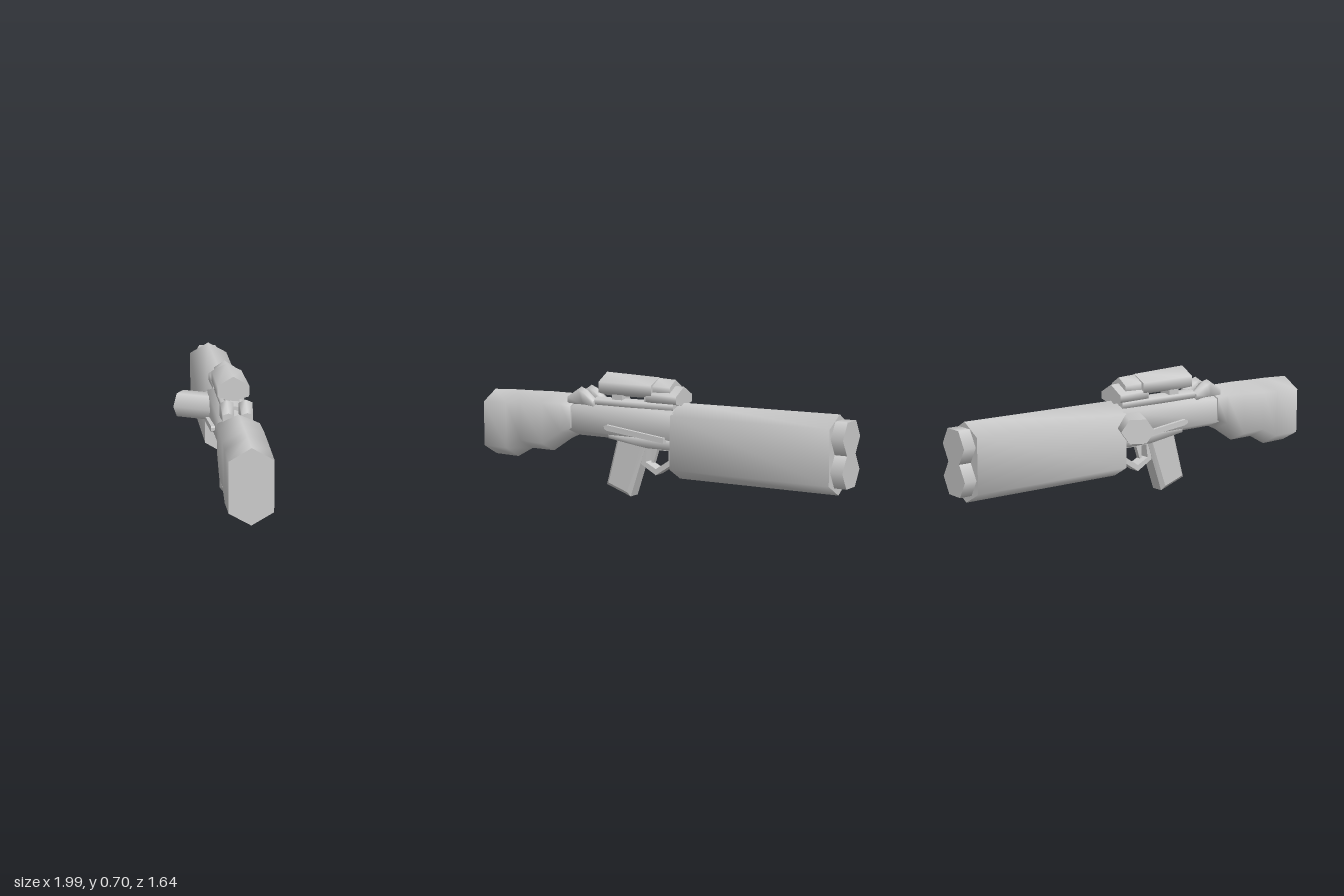
import * as THREE from 'three';

const material = new THREE.MeshStandardMaterial({ color: 0xcccccc, side: THREE.DoubleSide });

// Lofts hexagonal sections along x. Station: [x, bottom, top, halfWidth, chamferTop, chamferBottom]
function hexLoft(stations) {
  const pos = [], index = [];
  const rings = stations.map(([x, b, t, w, ct, cb = ct]) => [
    [x, t, 0], [x, t - ct, w], [x, b + cb, w], [x, b, 0], [x, b + cb, -w], [x, t - ct, -w],
  ]);
  rings.forEach((ring) => ring.forEach((p) => pos.push(...p)));
  for (let i = 0; i < rings.length - 1; i++) {
    for (let j = 0; j < 6; j++) {
      const a = i * 6 + j, b = i * 6 + (j + 1) % 6;
      index.push(a, b, b + 6, a, b + 6, a + 6);
    }
  }
  // separate end caps keep their edges sharp
  [[rings[0], true], [rings[rings.length - 1], false]].forEach(([ring, flip]) => {
    const s = pos.length / 3;
    ring.forEach((p) => pos.push(...p));
    for (let j = 1; j < 5; j++) index.push(s, s + (flip ? j + 1 : j), s + (flip ? j : j + 1));
  });
  const g = new THREE.BufferGeometry();
  g.setAttribute('position', new THREE.Float32BufferAttribute(pos, 3));
  g.setIndex(index);
  g.computeVertexNormals();
  return g;
}

// Side outline in x/y extruded to a width centred on z
function plate(points, width, hole, bevel = 0) {
  const shape = new THREE.Shape(points.map((p) => new THREE.Vector2(...p)));
  if (hole) shape.holes.push(new THREE.Path(hole.map((p) => new THREE.Vector2(...p))));
  const g = new THREE.ExtrudeGeometry(shape, {
    depth: width - 2 * bevel, bevelEnabled: bevel > 0,
    bevelThickness: bevel, bevelSize: bevel, bevelOffset: -bevel, bevelSegments: 1, curveSegments: 6,
  });
  return g.translate(0, 0, -width / 2 + bevel);
}

export function createModel() {
  const root = new THREE.Group();
  root.name = 'rifle';
  const add = (name, geometry) => {
    const mesh = new THREE.Mesh(geometry, material);
    mesh.name = name;
    root.add(mesh);
    return mesh;
  };

  // deep forward housing
  add('handguard', hexLoft([
    [-1.12, 0.145, 0.575, 0.115, 0.065],
    [-0.14, 0.135, 0.565, 0.108, 0.065],
  ]));

  // two stacked hexagonal muzzles
  [0.455, 0.28].forEach((y, i) => {
    const g = new THREE.CylinderGeometry(0.102, 0.102, 0.1, 6);
    g.rotateY(0).rotateZ(Math.PI / 2);
    add(i ? 'lowerMuzzle' : 'upperMuzzle', g).position.set(-1.14, y, 0);
  });

  // receiver and shoulder stock
  add('receiver', hexLoft([
    [-0.15, 0.325, 0.55, 0.095, 0.04],
    [0.56, 0.325, 0.54, 0.092, 0.04],
  ]));
  add('stock', hexLoft([
    [0.545, 0.33, 0.545, 0.1, 0.04, 0.05],
    [0.61, 0.3, 0.567, 0.112, 0.05],
    [0.74, 0.215, 0.567, 0.115, 0.055],
    [0.9, 0.215, 0.562, 0.115, 0.06],
    [1.01, 0.155, 0.56, 0.114, 0.065],
    [1.18, 0.157, 0.552, 0.112, 0.065],
  ]));

  // underside block, grip and trigger
  add('lowerReceiver', hexLoft([
    [-0.13, 0.285, 0.38, 0.075, 0.02],
    [0.06, 0.285, 0.38, 0.075, 0.02],
    [0.3, 0.32, 0.38, 0.07, 0.015],
  ]));
  add('grip', plate([[0.045, 0.37], [0.17, 0.005], [0.335, 0.06], [0.25, 0.37]], 0.115, null, 0.022));
  add('triggerGuard', plate(
    [[-0.12, 0.3], [-0.115, 0.22], [0, 0.145], [0.1, 0.2], [0.08, 0.3]], 0.07,
    [[-0.085, 0.29], [-0.085, 0.235], [0, 0.18], [0.07, 0.215], [0.06, 0.29]]));
  add('trigger', plate([[0, 0.3], [0.03, 0.21], [0.045, 0.21], [0.045, 0.3]], 0.025));

  // slanted rounded strips on both flanks
  for (const s of [1, -1]) {
    const strip = plate([[-0.1, 0.345], [0.28, 0.385], [0.3, 0.395], [0.3, 0.41],
      [0.285, 0.418], [-0.1, 0.375]], 0.03);
    add(s > 0 ? 'leftStrip' : 'rightStrip', strip).position.z = s * 0.1;
  }

  // hexagonal pod reaching outwards and forwards
  const pod = add('sidePod', new THREE.CylinderGeometry(0.093, 0.093, 0.24, 6)
    .rotateY(Math.PI / 2).rotateX(Math.PI / 2).scale(1, 0.83, 1));
  // widest corners lie level
  pod.rotation.y = -0.495;
  pod.position.set(-0.116, 0.432, 0.143);

  // sight rail, scope and its front lens block
  add('sightRail', hexLoft([
    [-0.13, 0.51, 0.565, 0.06, 0.01],
    [0.42, 0.51, 0.56, 0.06, 0.01],
  ]));
  for (const x of [0.04, 0.26]) {
    add('scopeMount', new THREE.BoxGeometry(0.07, 0.05, 0.08)).position.set(x, 0.572, 0);
  }
  add('scopeBody', hexLoft([
    [0, 0.575, 0.697, 0.083, 0.04, 0.025],
    [0.355, 0.572, 0.707, 0.086, 0.05, 0.025],
  ]));
  add('scopeNeck', hexLoft([
    [-0.11, 0.58, 0.69, 0.06, 0.04, 0.025],
    [0.02, 0.58, 0.695, 0.068, 0.04, 0.025],
  ]));
  add('scopeFront', hexLoft([
    [-0.165, 0.545, 0.655, 0.085, 0.05, 0.02],
    [0.04, 0.545, 0.66, 0.08, 0.05, 0.02],
  ]));

  // paired wedges ahead of the stock
  for (const s of [1, -1]) {
    add(s > 0 ? 'leftRearSight' : 'rightRearSight', hexLoft([
      [0.4, 0.5, 0.55, 0.025, 0.01],
      [0.47, 0.51, 0.605, 0.035, 0.015],
      [0.5, 0.51, 0.617, 0.035, 0.015],
      [0.58, 0.51, 0.565, 0.03, 0.01],
    ])).position.z = s * 0.05;
  }

  // the whole piece lies diagonally on the ground plane
  root.rotation.y = -0.668;
  const model = new THREE.Group();
  model.name = 'model';
  model.add(root);
  return model;
}
